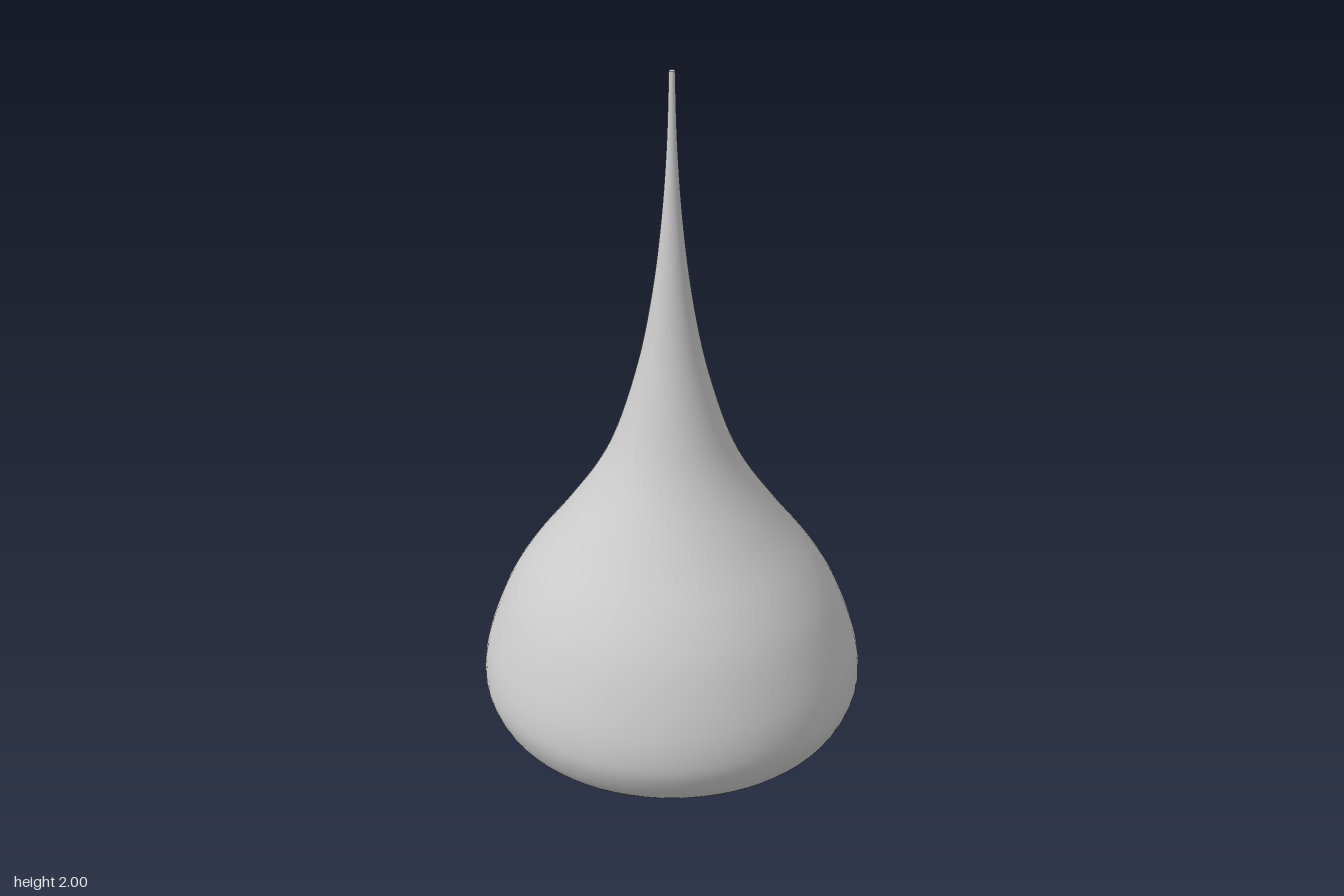
import * as THREE from 'three';

export function createModel() {
  const group = new THREE.Group();
  group.name = 'teardrop';
  const material = new THREE.MeshStandardMaterial({ color: 0xcccccc });

  // Radius and height along the drop, from the base centre to the tip
  const profile = [
    [0, 0], [0.12, 0.007], [0.3, 0.04], [0.41, 0.08], [0.48, 0.125], [0.52, 0.19],
    [0.533, 0.26], [0.517, 0.36], [0.465, 0.5], [0.4, 0.61], [0.305, 0.735],
    [0.212, 0.87], [0.15, 1], [0.09, 1.2], [0.052, 1.4], [0.028, 1.6],
    [0.014, 1.8], [0.008, 2],
  ].map(([r, y]) => new THREE.Vector2(r, y));
  const points = new THREE.SplineCurve(profile).getPoints(85);
  points.forEach((p) => { p.x = Math.max(0, p.x); p.y = Math.max(0, p.y); });

  // Round body drawn out into a thin neck
  const body = new THREE.Mesh(new THREE.LatheGeometry(points, 72), material);
  body.name = 'body';
  group.add(body);

  // Small flat cap closing the neck
  const cap = new THREE.Mesh(new THREE.CircleGeometry(0.008, 72), material);
  cap.name = 'tipCap';
  cap.rotation.x = -Math.PI / 2;
  cap.position.y = 2;
  group.add(cap);

  return group;
}
